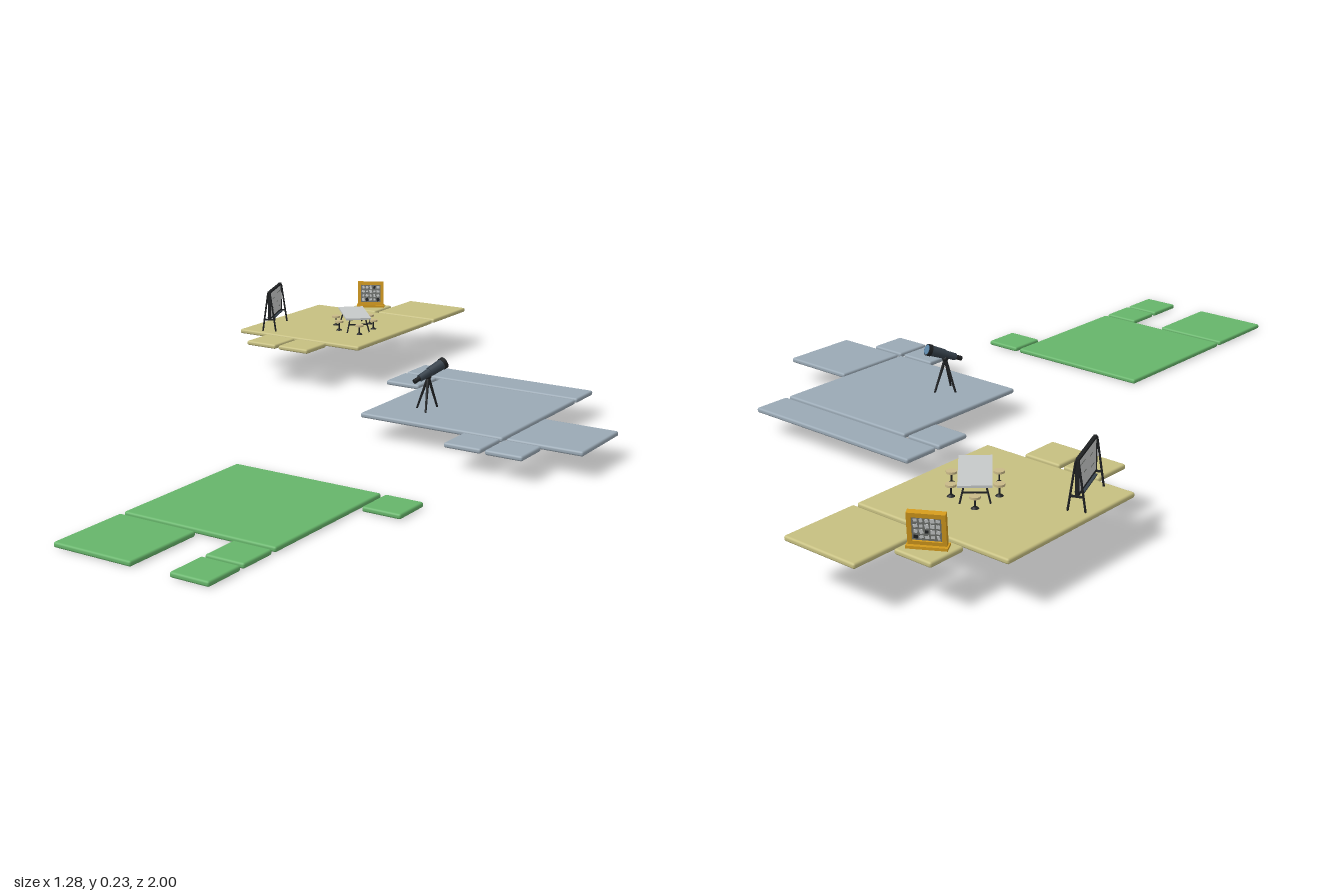
import * as THREE from 'three';
import { RoundedBoxGeometry } from 'three/addons/geometries/RoundedBoxGeometry.js';

const mat = (name, color) => new THREE.MeshStandardMaterial({ name, color });
const M = {
  green: mat('leaf green', 0x66b56a),
  blue: mat('blue grey', 0x9aa9b5),
  sand: mat('sand yellow', 0xc6bf80),
  black: mat('black metal', 0x1f2123),
  slate: mat('dark slate', 0x37424c),
  lens: mat('lens blue', 0x5d86a8),
  pale: mat('pale grey', 0xc6c9c9),
  tan: mat('tan seat', 0xc9b988),
  gold: mat('golden frame', 0xd39a1c),
  grey: mat('mid grey', 0x70736f),
};

function add(parent, name, geometry, material, x = 0, y = 0, z = 0) {
  const mesh = new THREE.Mesh(geometry, material);
  mesh.name = name;
  mesh.position.set(x, y, z);
  parent.add(mesh);
  return mesh;
}

function group(parent, name, x, y, z, turn = 0) {
  const g = new THREE.Group();
  g.name = name;
  g.position.set(x, y, z);
  g.rotation.y = turn;
  parent.add(g);
  return g;
}

// Round bar between two points
function rod(parent, name, a, b, r0, r1, material, sides = 8) {
  const p = new THREE.Vector3(...a), q = new THREE.Vector3(...b);
  const d = q.clone().sub(p);
  const mesh = add(parent, name, new THREE.CylinderGeometry(r1, r0, d.length(), sides), material);
  mesh.position.copy(p).add(q).multiplyScalar(0.5);
  mesh.quaternion.setFromUnitVectors(new THREE.Vector3(0, 1, 0), d.normalize());
  return mesh;
}

const T = 0.0125; // tile thickness

// Tiles given as [x0, x1, z0, z1]
function terrace(root, name, y, material, tiles) {
  const g = group(root, name, 0, y, 0);
  for (const [x0, x1, z0, z1] of tiles) {
    add(g, 'floorTile', new RoundedBoxGeometry(x1 - x0, T, z1 - z0, 2, 0.005), material,
      (x0 + x1) / 2, T / 2, (z0 + z1) / 2);
  }
}

function telescope(root) {
  const g = group(root, 'telescope', 0.158, 0.052 + T, -0.102);
  const hub = [0, 0.085, 0];
  for (const foot of [[-0.029, 0, 0.005], [0.012, 0, 0.032], [0.01, 0, -0.03]])
    rod(g, 'tripodLeg', foot, hub, 0.0025, 0.004, M.black);
  add(g, 'tripodHead', new THREE.SphereGeometry(0.008, 12, 8), M.black, ...hub);
  const a = new THREE.Vector3(-0.016, 0.078, 0.042), b = new THREE.Vector3(0.022, 0.115, -0.042);
  const at = t => a.clone().lerp(b, t).toArray();
  rod(g, 'eyepiece', at(0), at(0.2), 0.006, 0.006, M.black, 16);
  rod(g, 'rearTube', at(0.18), at(0.55), 0.009, 0.01, M.slate, 20);
  rod(g, 'frontTube', at(0.5), at(0.98), 0.012, 0.014, M.slate, 20);
  rod(g, 'lensRim', at(0.9), at(1), 0.015, 0.015, M.black, 20);
  rod(g, 'lens', at(0.98), at(1.01), 0.0125, 0.0125, M.lens, 20);
}

function whiteboard(root) {
  // Local x runs along the board, local z faces out
  const g = group(root, 'whiteboard', -0.58, 0.102 + T, -0.482, -Math.atan2(0.93, 0.37));
  add(g, 'boardPanel', new THREE.BoxGeometry(0.128, 0.072, 0.005), M.pale, 0, 0.074, 0);
  for (const y of [0.036, 0.112])
    add(g, 'boardRail', new THREE.BoxGeometry(0.136, 0.005, 0.008), M.black, 0, y, 0);
  for (const s of [-1, 1]) {
    add(g, 'boardSide', new THREE.BoxGeometry(0.005, 0.08, 0.008), M.black, s * 0.066, 0.074, 0);
    for (const k of [-1, 1])
      rod(g, 'standLeg', [s * 0.069, 0, k * 0.019], [s * 0.069, 0.11, k * 0.003], 0.0025, 0.0025, M.black);
    add(g, 'legTie', new THREE.BoxGeometry(0.004, 0.004, 0.028), M.black, s * 0.069, 0.033, 0);
    // Written strokes on both faces
    for (const [x, y, w] of [[-0.035, 0.095, 0.03], [0.025, 0.088, 0.02], [-0.02, 0.07, 0.016], [0.036, 0.06, 0.024], [-0.04, 0.052, 0.012]])
      add(g, 'stroke', new THREE.BoxGeometry(w, 0.002, 0.001), M.grey, x, y, s * 0.0028);
  }
  add(g, 'penTray', new THREE.BoxGeometry(0.1, 0.003, 0.02), M.slate, 0, 0.034, 0);
}

function meetingTable(root) {
  const g = group(root, 'meetingTable', -0.376, 0.102 + T, -0.594, -Math.atan2(0.754, 0.656));
  add(g, 'tableTop', new THREE.BoxGeometry(0.161, 0.005, 0.072), M.pale, 0, 0.041, 0);
  for (const s of [-1, 1]) {
    for (const k of [-1, 1])
      rod(g, 'tableLeg', [s * 0.073, 0, k * 0.032], [s * 0.062, 0.039, k * 0.022], 0.002, 0.002, M.black);
    add(g, 'legBrace', new THREE.BoxGeometry(0.004, 0.003, 0.05), M.black, s * 0.066, 0.022, 0);
  }
  const seats = [[-0.095, 0], [0.095, 0]];
  for (const s of [-1, 1]) for (const k of [-1, 1]) seats.push([s * 0.034, k * 0.05]);
  for (const [x, z] of seats) {
    const stool = group(g, 'stool', x, 0, z);
    add(stool, 'stoolBase', new THREE.CylinderGeometry(0.004, 0.009, 0.004, 16), M.black, 0, 0.002, 0);
    add(stool, 'stoolPost', new THREE.CylinderGeometry(0.002, 0.002, 0.022, 8), M.black, 0, 0.013, 0);
    add(stool, 'stoolSeat', new THREE.CylinderGeometry(0.012, 0.012, 0.005, 20), M.tan, 0, 0.0255, 0);
  }
}

function pinBoard(root) {
  const g = group(root, 'pinBoard', -0.487, 0.102 + T, -0.858, Math.atan2(0.5, 0.87));
  add(g, 'standBase', new THREE.BoxGeometry(0.084, 0.006, 0.028), M.gold, 0, 0.003, 0.002);
  const f = group(g, 'leaningFrame', 0, 0.003, 0.004);
  f.rotation.x = -0.14;
  for (const y of [0.007, 0.07])
    add(f, 'frameRail', new THREE.BoxGeometry(0.078, 0.01, 0.014), M.gold, 0, y, 0);
  for (const s of [-1, 1])
    add(f, 'framePost', new THREE.BoxGeometry(0.009, 0.073, 0.014), M.gold, s * 0.0345, 0.0385, 0);
  add(f, 'pinPanel', new THREE.BoxGeometry(0.061, 0.054, 0.006), M.grey, 0, 0.0385, 0);
  // Scattered notes on both faces
  let seed = 7;
  const rnd = () => (seed = (seed * 16807) % 2147483647) / 2147483647;
  for (const s of [-1, 1]) for (let i = 0; i < 5; i++) for (let j = 0; j < 4; j++) {
    const note = add(f, 'note', new THREE.BoxGeometry(0.005 + rnd() * 0.004, 0.005 + rnd() * 0.005, 0.001),
      rnd() < 0.75 ? M.pale : M.black, (i - 2) * 0.0112, 0.0385 + (j - 1.5) * 0.0125, s * 0.0034);
    note.rotation.z = (rnd() - 0.5) * 0.9;
  }
}

export function createModel() {
  const root = new THREE.Group();
  root.name = 'steppedTerraces';
  terrace(root, 'lowerTerrace', 0, M.green, [
    [-0.077, 0.321, 0.38, 0.781], [0.332, 0.43, 0.38, 0.479], [-0.077, 0.127, 0.793, 1],
    [0.224, 0.321, 0.793, 0.888], [0.224, 0.321, 0.898, 1],
  ]);
  terrace(root, 'middleTerrace', 0.053, M.blue, [
    [-0.077, 0.43, -0.488, -0.392], [-0.077, 0.023, -0.382, -0.285], [0.034, 0.43, -0.382, 0.018],
    [0.44, 0.637, -0.183, 0.018], [0.332, 0.43, 0.028, 0.126], [0.44, 0.537, 0.028, 0.126],
  ]);
  terrace(root, 'upperTerrace', 0.102, M.sand, [
    [-0.64, -0.234, -0.799, -0.392], [-0.43, -0.234, -1, -0.809], [-0.537, -0.44, -0.904, -0.809],
    [-0.537, -0.44, -0.382, -0.285], [-0.43, -0.333, -0.382, -0.285],
  ]);
  telescope(root);
  whiteboard(root);
  meetingTable(root);
  pinBoard(root);
  return root;
}
